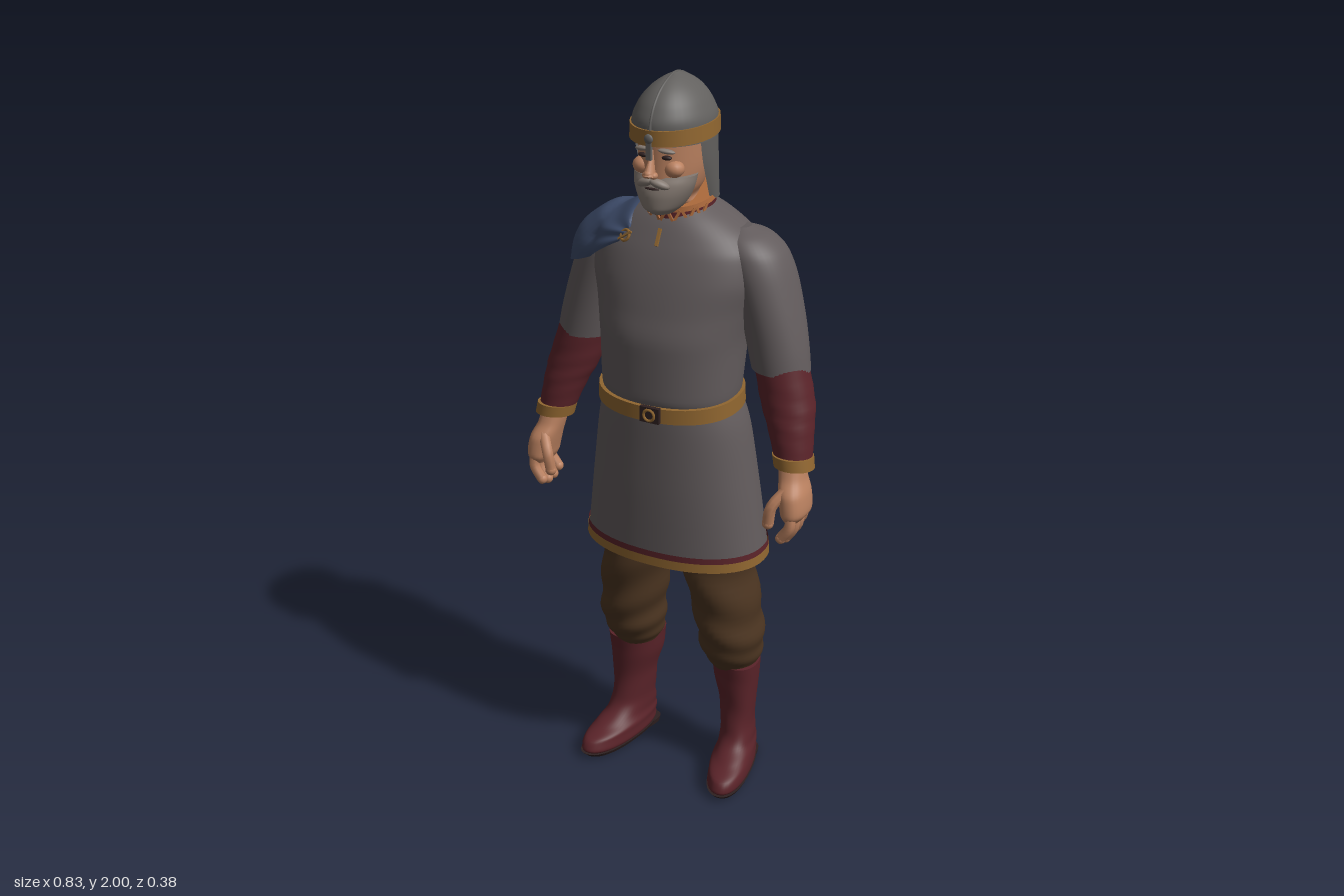
import * as THREE from 'three';

const mat = (name, color, side = THREE.FrontSide) => {
  const m = new THREE.MeshStandardMaterial({ color, side });
  m.name = name;
  return m;
};

// Overshoot-free cubic interpolation through a list of number rows, t in 0..1
function sample(rows, t) {
  const n = rows.length - 1, k = Math.min(Math.floor(t * n), n - 1), f = t * n - k;
  return rows[0].map((_, c) => {
    const d = i => (i < 0 || i >= n ? null : rows[i + 1][c] - rows[i][c]);
    const slope = (a, b) => (a === null ? b : b === null ? a : a * b <= 0 ? 0 : (2 * a * b) / (a + b));
    const m0 = slope(d(k - 1), d(k)), m1 = slope(d(k), d(k + 1));
    const f2 = f * f, f3 = f2 * f;
    return rows[k][c] * (2 * f3 - 3 * f2 + 1) + m0 * (f3 - 2 * f2 + f)
      + rows[k + 1][c] * (3 * f2 - 2 * f3) + m1 * (f3 - f2);
  });
}

// Grid of points to smooth mesh geometry; wrap joins the last column to the first
function gridGeometry(fn, cols, rows, wrap = false, caps = false) {
  const pos = [], idx = [], w = wrap ? cols : cols + 1;
  for (let j = 0; j <= rows; j++) for (let i = 0; i < w; i++) pos.push(...fn(i / cols, j / rows));
  for (let j = 0; j < rows; j++) for (let i = 0; i < cols; i++) {
    const a = j * w + i, b = j * w + ((i + 1) % w);
    idx.push(a, b, b + w, a, b + w, a + w);
  }
  if (caps) for (const j of [0, rows]) {
    const start = pos.length / 3, c = [0, 0, 0];
    for (let i = 0; i < w; i++) {
      const p = fn(i / cols, j / rows);
      pos.push(...p);
      p.forEach((v, k) => { c[k] += v / w; });
    }
    pos.push(...c);
    for (let i = 0; i < w; i++) {
      const a = start + i, b = start + ((i + 1) % w);
      idx.push(...(j ? [a, b, start + w] : [b, a, start + w]));
    }
  }
  const g = new THREE.BufferGeometry();
  g.setAttribute('position', new THREE.Float32BufferAttribute(pos, 3));
  g.setIndex(idx);
  g.computeVertexNormals();
  return g;
}

// Loft of rounded cross-sections, bottom to top: [y, centre x, half width, front z, back z]
function loft(rings, { s = 1, power = 2, tilt = 0, splay = 0, fold = 0, from = 0, to = 360, cols = 40, open = false } = {}) {
  const full = to - from === 360, steps = (rings.length - 1) * 6;
  const round = v => Math.sign(v) * Math.abs(v) ** (2 / power);
  return gridGeometry((u, t) => {
    const [y, cx, rx, zf, zb] = sample(rings, t);
    const a = THREE.MathUtils.degToRad(from + u * (to - from));
    const w = 1 + fold * Math.sin(t * 32 + Math.sin(a * s) * 2.2) * Math.sin(t * Math.PI);
    const z = (zf + zb) / 2 + (zf - zb) / 2 * round(Math.cos(a)) * w;
    return [s * (cx + splay * z) + rx * round(Math.sin(a)) * w, y + tilt * z, z];
  }, cols, steps, full, full && !open);
}

export function createModel() {
  const root = new THREE.Group();
  root.name = 'warrior';
  const cloth = mat('tunic grey', 0x625b5c, THREE.DoubleSide);
  const steel = mat('helmet grey', 0x62605e, THREE.DoubleSide);
  const blue = mat('cape blue', 0x3c4a68, THREE.DoubleSide);
  const red = mat('dark red', 0x5a2329, THREE.DoubleSide);
  const gold = mat('ochre trim', 0x906630, THREE.DoubleSide);
  const brown = mat('trouser brown', 0x4c3521);
  const skin = mat('skin', 0xb9805f);
  const hair = mat('beard grey', 0x857a72);
  const orange = mat('collar orange', 0xad6a3c);
  const dark = mat('dark brown', 0x2e2020);

  const add = (name, geo, material, pos = [0, 0, 0], scale = [1, 1, 1], rot = [0, 0, 0]) => {
    const m = new THREE.Mesh(geo, material);
    m.name = name;
    m.position.set(...pos); m.scale.set(...scale); m.rotation.set(...rot);
    root.add(m);
    return m;
  };
  const ball = new THREE.SphereGeometry(1, 16, 12);
  const box = new THREE.BoxGeometry(1, 1, 1);

  // Tunic body, skirt and hem
  const torso = add('torso', loft([
    [1.155, 0, 0.18, 0.165, -0.11], [1.2, 0, 0.187, 0.18, -0.117], [1.33, 0, 0.195, 0.18, -0.142],
    [1.42, 0, 0.212, 0.163, -0.16], [1.5, 0, 0.232, 0.143, -0.172], [1.56, 0, 0.225, 0.122, -0.167],
    [1.6, 0, 0.195, 0.103, -0.155], [1.64, 0, 0.14, 0.08, -0.135], [1.67, 0, 0.085, 0.055, -0.11]],
  { power: 2.2, cols: 56 }), cloth);
  add('skirt', loft([
    [0.74, 0, 0.256, 0.163, -0.162], [0.8, 0, 0.248, 0.164, -0.158], [0.95, 0, 0.228, 0.166, -0.147],
    [1.1, 0, 0.205, 0.166, -0.13], [1.18, 0, 0.18, 0.165, -0.113]], { power: 2.2, cols: 56, open: true }), cloth);
  const band = (name, y0, y1, rx, zf, zb, material, opts) =>
    add(name, loft([[y0, 0, rx, zf, zb], [y1, 0, rx - 0.002, zf, zb]], { cols: 56, ...opts }), material);
  band('hemTrim', 0.71, 0.736, 0.262, 0.169, -0.168, gold, { power: 2.2, open: true });
  band('hemBand', 0.734, 0.752, 0.26, 0.167, -0.166, red, { power: 2.2, open: true });

  // Belt with buckle
  band('belt', 1.153, 1.193, 0.197, 0.187, -0.123, gold, { power: 2.2, tilt: -0.07 });
  add('buckle', box, dark, [0.02, 1.162, 0.188], [0.055, 0.042, 0.012]);
  add('buckleRing', new THREE.TorusGeometry(0.015, 0.004, 6, 16), gold, [0.02, 1.162, 0.195]);

  // Collar and neck opening
  band('collar', 1.642, 1.69, 0.089, 0.075, -0.108, red, { tilt: -0.2 });
  for (const y of [1.65, 1.685]) band('collarTrim', y - 0.006, y + 0.007, 0.092, 0.078, -0.11, orange, { tilt: -0.2 });
  for (let i = -6; i <= 6; i++) {
    const a = i * 0.2;
    add('collarStitch', box, orange, [0.09 * Math.sin(a), 1.67 - 0.2 * (0.09 * Math.cos(a) - 0.015), -0.016 + 0.093 * Math.cos(a)],
      [0.007, 0.03, 0.006], [0, a, i % 2 ? 0.5 : -0.5]);
  }
  add('neckSlit', box, gold, [0, 1.605, 0.103], [0.008, 0.045, 0.008], [-0.5, 0, 0]);

  let rightSleeve;
  for (const s of [1, -1]) {
    const side = s > 0 ? 'left' : 'right';
    const part = (name, rings, material, opts) => add(side + name, loft(rings, { s, ...opts }), material);
    const ball2 = (name, material, p, r, rot = [0, 0, 0]) => add(side + name, ball, material, [s * p[0], p[1], p[2]], r, [rot[0], s * rot[1], s * rot[2]]);

    // Arms
    const sleeve = part('Sleeve', [
      [1.268, 0.287, 0.077, 0.052, -0.092], [1.33, 0.273, 0.08, 0.052, -0.105], [1.4, 0.255, 0.081, 0.053, -0.122],
      [1.5, 0.224, 0.082, 0.055, -0.138], [1.56, 0.202, 0.078, 0.05, -0.132], [1.6, 0.18, 0.058, 0.028, -0.11],
      [1.622, 0.165, 0.02, -0.015, -0.065]], cloth);
    if (s < 0) rightSleeve = sleeve;
    part('Forearm', [
      [1.035, 0.356, 0.047, 0.085, -0.01], [1.12, 0.336, 0.06, 0.074, -0.042], [1.2, 0.312, 0.072, 0.06, -0.073],
      [1.3, 0.284, 0.071, 0.048, -0.086]], red, { fold: 0.015 });
    part('Cuff', [[1.028, 0.358, 0.053, 0.093, -0.014], [1.058, 0.352, 0.054, 0.09, -0.019]], gold, { tilt: 0.08 });

    // Hands
    part('Palm', [
      [0.9, 0.378, 0.02, 0.115, 0.015], [0.925, 0.38, 0.034, 0.128, 0.008], [0.97, 0.373, 0.037, 0.122, 0.005],
      [1.01, 0.361, 0.034, 0.095, 0.004], [1.045, 0.355, 0.034, 0.08, 0.002]], skin, { power: 2.3, cols: 24 });
    const finger = (name, r, pts) => {
      const curve = new THREE.CatmullRomCurve3(pts.map(p => new THREE.Vector3(s * p[0], p[1], p[2])));
      add(side + name, new THREE.TubeGeometry(curve, 8, r, 8), skin);
      ball2(name + 'Tip', skin, pts[pts.length - 1], [r, r, r]);
    };
    for (let i = 0; i < 4; i++) {
      const z = 0.026 + i * 0.028, drop = [0.014, 0.002, 0, 0.01][i];
      finger('Finger', 0.0145, [[0.383, 0.925, z], [0.383, 0.882 + drop, z + 0.004], [0.36, 0.846 + drop, z + 0.004]]);
    }
    finger('Thumb', 0.0155, [[0.362, 0.985, 0.095], [0.335, 0.945, 0.122], [0.326, 0.895, 0.122]]);

    // Trousers
    part('TrouserLeg', [
      [0.335, 0.155, 0.062, 0.02, -0.122], [0.37, 0.155, 0.078, 0.045, -0.134], [0.43, 0.155, 0.087, 0.075, -0.134],
      [0.52, 0.147, 0.09, 0.09, -0.13], [0.65, 0.126, 0.095, 0.105, -0.12], [0.78, 0.113, 0.105, 0.11, -0.12],
      [0.95, 0.1, 0.105, 0.11, -0.1]], brown, { fold: 0.045 });

    // Boots
    part('Boot', [
      [0.014, 0.182, 0.052, 0.15, -0.125], [0.03, 0.182, 0.058, 0.164, -0.13], [0.055, 0.182, 0.058, 0.148, -0.131],
      [0.075, 0.182, 0.054, 0.095, -0.13], [0.1, 0.181, 0.05, 0.045, -0.125], [0.14, 0.178, 0.049, 0.02, -0.117],
      [0.21, 0.176, 0.053, 0.012, -0.116], [0.29, 0.17, 0.066, 0.018, -0.13], [0.35, 0.168, 0.071, 0.026, -0.133]],
    red, { splay: 0.17, power: 2.2, fold: 0.015 });
    part('Sole', [[0.008, 0.182, 0.054, 0.155, -0.128], [0.02, 0.182, 0.059, 0.166, -0.132]], dark, { splay: 0.17, power: 2.3 });
    part('Heel', [[0, 0.182, 0.045, -0.045, -0.128], [0.016, 0.182, 0.048, -0.04, -0.131]], dark, { splay: 0.17, power: 3 });

    // Face halves
    ball2('Eye', dark, [0.032, 1.815, 0.118], [0.014, 0.006, 0.008]);
    ball2('Brow', hair, [0.034, 1.832, 0.122], [0.022, 0.006, 0.009], [0, 0.3, -0.12]);
    ball2('Cheek', skin, [0.043, 1.785, 0.1], [0.026, 0.022, 0.025]);
    ball2('Moustache', hair, [0.02, 1.752, 0.133], [0.027, 0.011, 0.014], [0, 0.35, -0.35]);
    ball2('Nostril', skin, [0.01, 1.774, 0.143], [0.01, 0.009, 0.012]);
  }

  // Head
  add('head', loft([
    [1.6, 0, 0.062, 0.04, -0.085], [1.67, 0, 0.06, 0.05, -0.08], [1.695, 0, 0.052, 0.112, -0.075],
    [1.73, 0, 0.07, 0.126, -0.085], [1.785, 0, 0.082, 0.126, -0.095], [1.87, 0, 0.086, 0.128, -0.1]]), skin);
  add('nose', new THREE.ConeGeometry(0.019, 0.068, 10), skin, [0, 1.803, 0.137], [0.85, 1, 1.1], [-0.3, 0, 0]);
  add('noseTip', ball, skin, [0, 1.779, 0.15], [0.012, 0.011, 0.015]);
  add('beard', loft([
    [1.668, 0, 0.03, 0.118, 0.04], [1.685, 0, 0.05, 0.137, 0.015], [1.715, 0, 0.069, 0.139, 0],
    [1.745, 0, 0.08, 0.133, 0], [1.765, 0, 0.083, 0.122, 0]]), hair);
  add('mouth', ball, dark, [0, 1.738, 0.135], [0.02, 0.003, 0.005]);

  // Helmet with band, crest ridge, nose guard and neck guard
  const dome = [[1.845, 0.102, 0.142, -0.114], [1.89, 0.1, 0.142, -0.115], [1.93, 0.085, 0.127, -0.1],
    [1.965, 0.058, 0.096, -0.072], [1.987, 0.028, 0.058, -0.035], [1.998, 0.006, 0.022, -0.001]];
  add('helmet', loft(dome.map(([y, rx, zf, zb]) => [y, 0, rx, zf, zb])), steel);
  band('helmetBand', 1.852, 1.89, 0.106, 0.147, -0.12, gold, { tilt: -0.04 });
  const ridge = [...dome.map(d => [d[0], d[2]]), ...[...dome].reverse().map(d => [d[0], d[3]])];
  add('helmetRidge', new THREE.TubeGeometry(new THREE.CatmullRomCurve3(
    ridge.map(([y, z]) => new THREE.Vector3(0, y - 0.002, z))), 48, 0.004, 6), steel);
  add('noseGuard', box, steel, [0, 1.843, 0.147], [0.014, 0.06, 0.01]);
  add('noseGuardStud', ball, steel, [0, 1.865, 0.15], [0.012, 0.012, 0.006]);
  add('neckGuard', loft([
    [1.683, 0, 0.092, 0.035, -0.108], [1.74, 0, 0.096, 0.075, -0.107], [1.8, 0, 0.099, 0.115, -0.11],
    [1.86, 0, 0.1, 0.138, -0.113]], { from: 68, to: 292 }), steel);

  // Shoulder cape: rows from front to back (neck, middle, hem), draped onto the tunic
  const drape = [
    [-0.085, 1.615, 0.09, -0.1, 1.595, 0.095, -0.11, 1.575, 0.1],
    [-0.095, 1.645, 0.05, -0.18, 1.59, 0.07, -0.235, 1.5, 0.06],
    [-0.09, 1.665, -0.03, -0.22, 1.62, -0.04, -0.315, 1.455, -0.04],
    [-0.065, 1.655, -0.11, -0.2, 1.59, -0.15, -0.29, 1.41, -0.13],
    [-0.04, 1.64, -0.145, -0.13, 1.53, -0.18, -0.2, 1.385, -0.18],
    [-0.04, 1.61, -0.16, -0.07, 1.53, -0.18, -0.11, 1.43, -0.18]];
  const centre = new THREE.Vector3(-0.15, 1.5, -0.04), ray = new THREE.Raycaster();
  add('shoulderCape', gridGeometry((u, v) => {
    const r = sample(drape, v);
    const p = new THREE.Vector3(...sample([r.slice(0, 3), r.slice(3, 6), r.slice(6, 9)], u));
    const dir = p.clone().sub(centre).normalize();
    ray.set(centre.clone().addScaledVector(dir, 1), dir.clone().negate());
    const hit = ray.intersectObjects([torso, rightSleeve])[0];
    const lift = 0.007 + 0.009 * Math.sqrt(Math.sin(Math.PI * Math.min(u, 0.85))) + 0.003 * Math.sin(u * 16 + v * 3);
    return (hit ? hit.point : p).clone().addScaledVector(dir, lift).toArray();
  }, 24, 40), blue);
  add('brooch', new THREE.TorusGeometry(0.014, 0.004, 6, 16), gold, [-0.092, 1.598, 0.107], [1, 1, 1], [-0.5, -0.3, 0]);
  add('broochPin', box, gold, [-0.092, 1.598, 0.11], [0.045, 0.005, 0.005], [-0.5, -0.3, 0.5]);

  return root;
}
